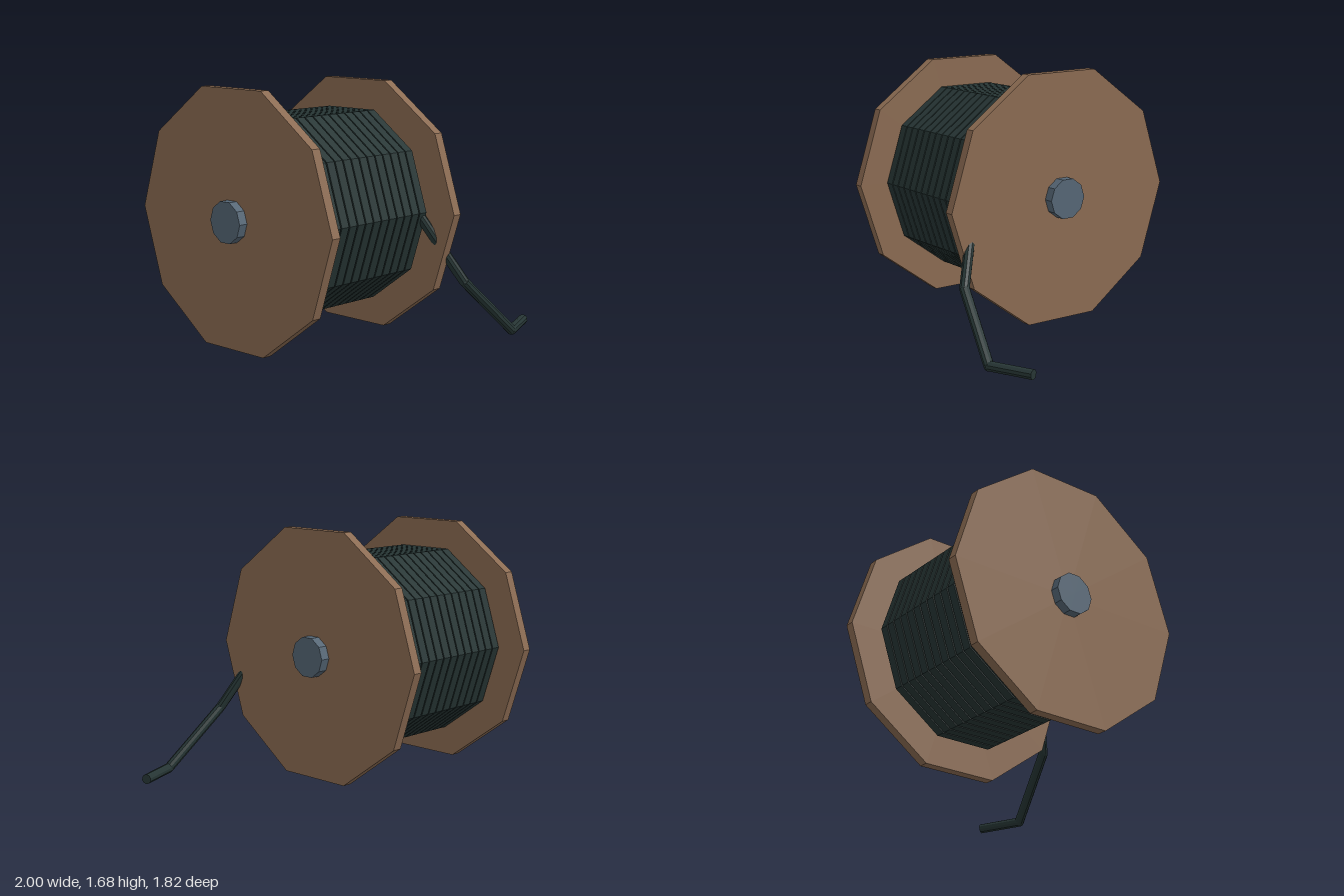
import * as THREE from 'three';

const SIDES = 10;
const CY = 0.865, CZ = -0.05; // spool axis

function material(name, color) {
  const m = new THREE.MeshStandardMaterial({ color, flatShading: true });
  m.name = name;
  return m;
}

// Ten-sided prism lying along x, from x0 to x1
function disc(name, x0, x1, radius, mat) {
  const geo = new THREE.CylinderGeometry(radius, radius, x1 - x0, SIDES);
  geo.rotateZ(Math.PI / 2);
  const mesh = new THREE.Mesh(geo, mat);
  mesh.name = name;
  mesh.position.set((x0 + x1) / 2, CY, CZ);
  return mesh;
}

// Straight cable piece between two points
function segment(name, a, b, radius, mat) {
  const dir = b.clone().sub(a);
  const mesh = new THREE.Mesh(new THREE.CylinderGeometry(radius, radius, dir.length(), SIDES), mat);
  mesh.name = name;
  mesh.position.copy(a).add(b).multiplyScalar(0.5);
  mesh.quaternion.setFromUnitVectors(new THREE.Vector3(0, 1, 0), dir.normalize());
  return mesh;
}

export function createModel() {
  const wood = material('wood', 0x8b6b52);
  const steel = material('steel', 0x556675);
  const rubber = material('cable', 0x263534);

  const model = new THREE.Group();
  model.name = 'cableSpool';

  // Axle and end flanges
  model.add(disc('axle', -1, 0.29, 0.135, steel));
  model.add(disc('rightFlange', -0.94, -0.875, 0.86, wood));
  model.add(disc('leftFlange', 0.16, 0.225, 0.86, wood));

  // Wound cable
  const coils = new THREE.Group();
  coils.name = 'coils';
  for (let i = 0; i < 14; i++) {
    const x = -0.865 + i * 0.0717;
    coils.add(disc('coil', x, x + 0.062, 0.658, rubber));
  }
  model.add(coils);

  // Loose cable end running down to the ground
  const r = 0.033;
  const points = [
    [0.1, 0.86, 0.56], [0.31, 0.41, 0.78], [0.7, 0.034, 0.875], [0.985, 0.034, 0.757],
  ].map((p) => new THREE.Vector3(...p));
  const tail = new THREE.Group();
  tail.name = 'looseCable';
  for (let i = 0; i < points.length - 1; i++) {
    tail.add(segment('cableSegment', points[i], points[i + 1], r, rubber));
    if (i > 0) {
      const joint = new THREE.Mesh(new THREE.SphereGeometry(r, SIDES, 6), rubber);
      joint.name = 'cableBend';
      joint.position.copy(points[i]);
      tail.add(joint);
    }
  }
  model.add(tail);

  return model;
}
